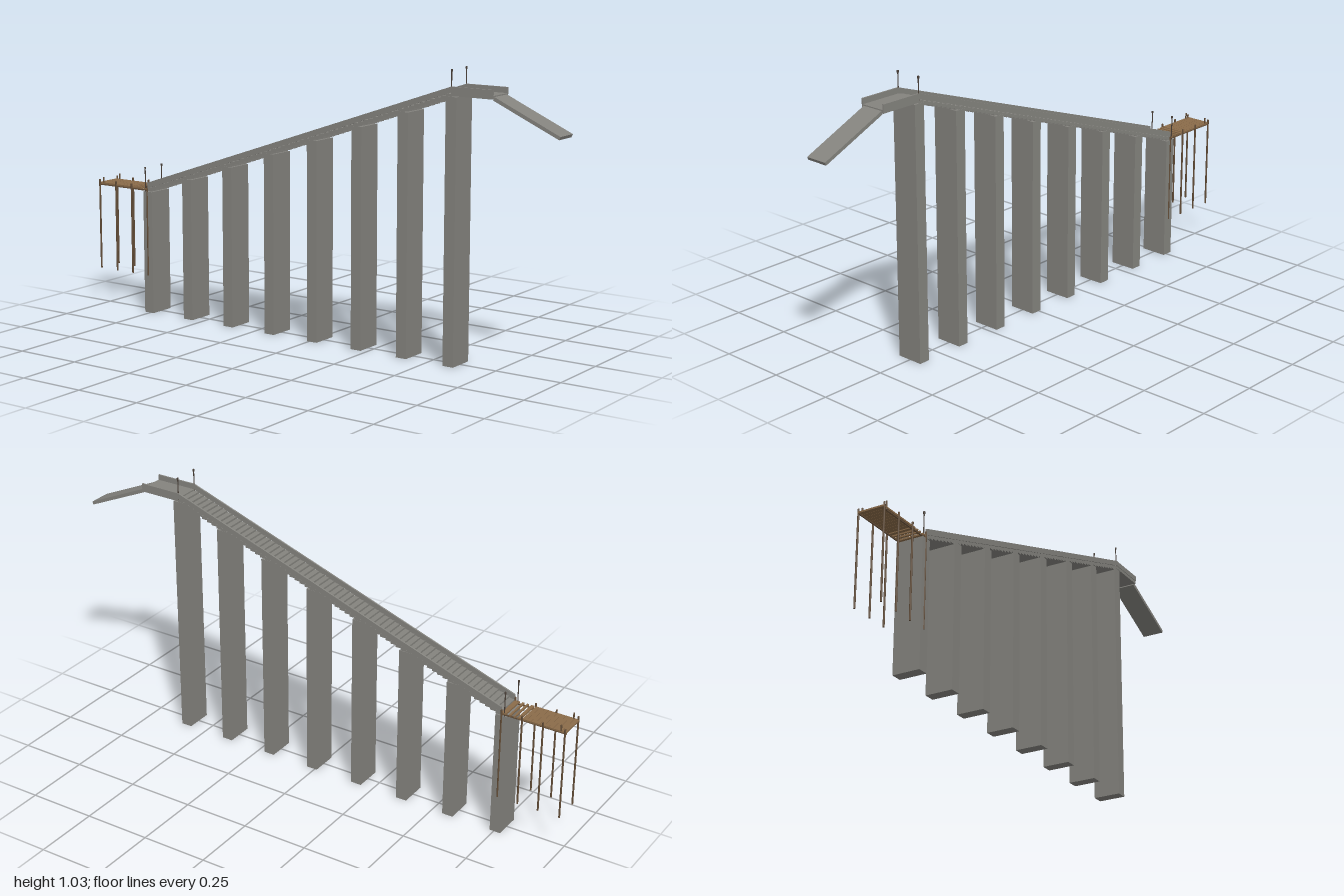
import * as THREE from 'three';

const mat = (name, color) => {
  const m = new THREE.MeshStandardMaterial({ color });
  m.name = name;
  return m;
};

export function createModel() {
  const model = new THREE.Group();
  model.name = 'stairBridge';
  const stone = mat('grey stone', 0x84837e);
  const wood = mat('plank wood', 0x8a6b49);
  const darkWood = mat('post wood', 0x644e38);
  const iron = mat('dark iron', 0x4a4038);

  const add = (name, geo, material, x = 0, y = 0, z = 0) => {
    const m = new THREE.Mesh(geo, material);
    m.name = name;
    m.position.set(x, y, z);
    model.add(m);
    return m;
  };
  // box given by its limits
  const block = (name, material, x0, x1, y0, y1, z0, z1) =>
    add(name, new THREE.BoxGeometry(x1 - x0, y1 - y0, z1 - z0), material,
      (x0 + x1) / 2, (y0 + y1) / 2, (z0 + z1) / 2);
  // side profile extruded across z
  const profile = (name, pts, z0, z1) =>
    add(name, new THREE.ExtrudeGeometry(
      new THREE.Shape(pts.map(p => new THREE.Vector2(...p))),
      { depth: z1 - z0, bevelEnabled: false }), stone, 0, 0, z0);

  // underside line of the staircase
  const X0 = -0.755, X1 = 0.588, Y0 = 0.474, Y1 = 0.938, XE = 0.75;
  const line = x => Y0 + (Y1 - Y0) * (x - X0) / (X1 - X0);

  // row of tall pillars
  for (let i = 0; i < 8; i++) {
    const x = -0.755 + i * 0.1919;
    block('pillar', stone, x - 0.021, x + 0.021, 0, line(x) - 0.003, -0.051, 0.051);
  }

  // stairs
  const steps = 64, dx = (X1 - X0) / steps;
  for (let i = 0; i < steps; i++) {
    const x = X0 + i * dx, y = line(x);
    block('step', stone, x, x + dx, y, y + 0.014, -0.05, 0.05);
  }

  // upper landing and sloping exit ramp
  block('landing', stone, X1, XE, Y1, Y1 + 0.012, -0.05, 0.05);
  profile('exitRamp', [[0.745, 0.934], [0.995, 0.823], [1, 0.834], [0.75, 0.946]], -0.042, 0.042);

  // parapets along stairs and landing
  for (const s of [-1, 1]) {
    const z0 = s > 0 ? 0.046 : -0.052;
    profile('parapet', [
      [X0, Y0 + 0.01], [X1, Y1 + 0.012], [XE, Y1 + 0.012],
      [XE, Y1 + 0.032], [X1, Y1 + 0.032], [X0, Y0 + 0.032],
    ], z0, z0 + 0.006);

    // lamp poles at both ends of the stairs
    for (const [x, y0, y1] of [[-0.767, 0.47, 0.565], [0.588, 0.94, 1.029]]) {
      const z = s * 0.048;
      add('lampPole', new THREE.CylinderGeometry(0.002, 0.002, y1 - y0, 8), iron, x, (y0 + y1) / 2, z);
      add('lampHead', new THREE.CylinderGeometry(0.0035, 0.0035, 0.008, 8), iron, x, y1 - 0.004, z);
    }

    // jetty posts and side beams
    [-0.996, -0.914, -0.835, -0.757].forEach(x =>
      add('jettyPost', new THREE.CylinderGeometry(0.0035, 0.0035, 0.35, 8), darkWood, x, 0.32, s * 0.05));
    add('mooringPost', new THREE.CylinderGeometry(0.003, 0.003, 0.03, 8), darkWood, -0.98, 0.49, s * 0.047);
    block('jettyBeam', darkWood, -1, -0.755, 0.473, 0.478, s * 0.045 - 0.002, s * 0.045 + 0.002);
  }

  // jetty planks, close together at first, then spaced towards the stairs
  const planks = 10, pw = 0.165 / planks;
  for (let i = 0; i < planks; i++) {
    const x = -1 + i * pw;
    block('plank', wood, x, x + pw - 0.0008, 0.478, 0.484, -0.05, 0.05);
  }
  [[-0.83, 0.012], [-0.809, 0.007], [-0.792, 0.007], [-0.774, 0.018]].forEach(([x, w]) =>
    block('loosePlank', wood, x, x + w, 0.478, 0.484, -0.05, 0.05));

  return model;
}
